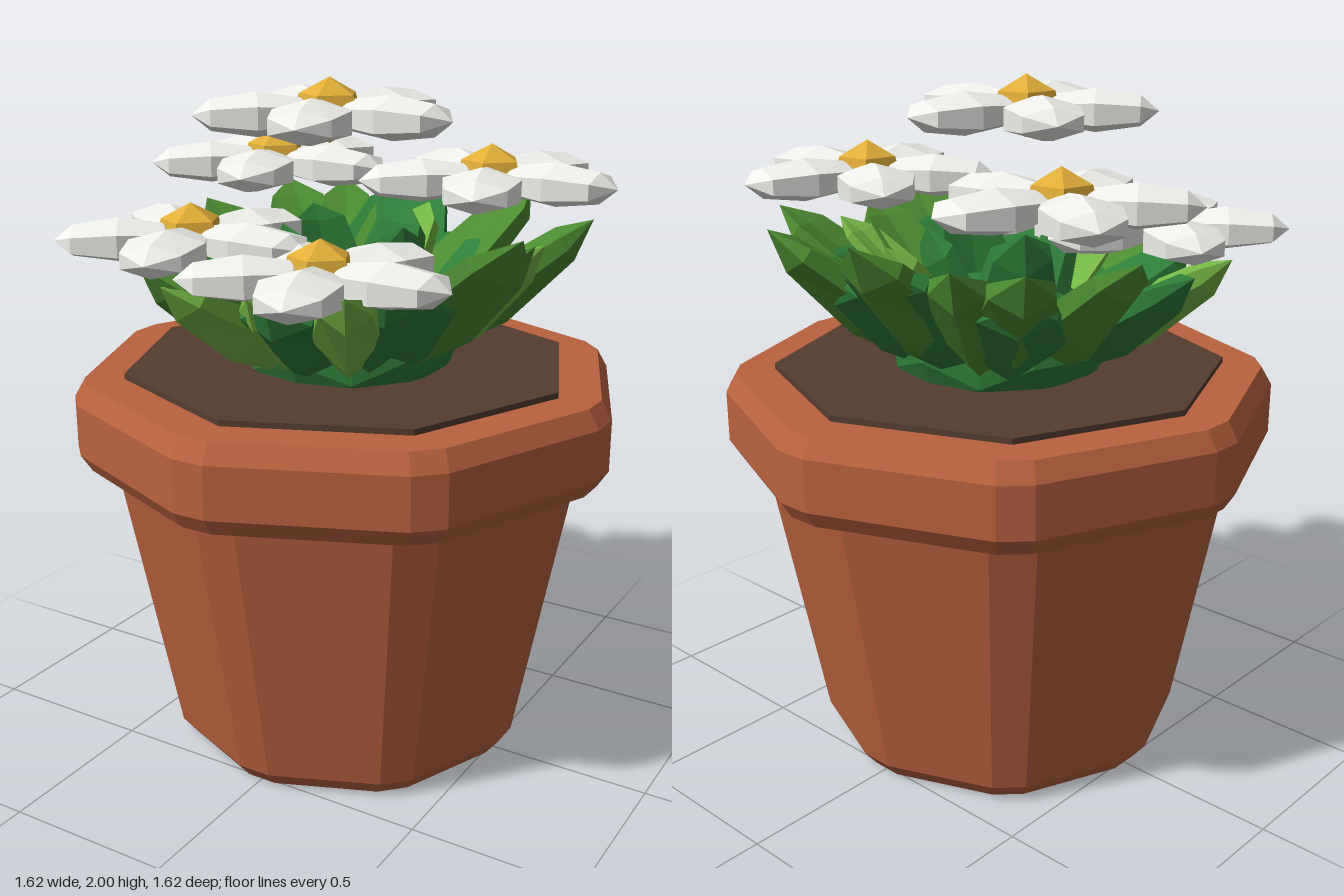
import * as THREE from 'three';

const mat = (color, side = THREE.FrontSide) =>
  new THREE.MeshStandardMaterial({ color, flatShading: true, side });
const CLAY = mat(0xb9623f), SOIL = mat(0x553d30), WHITE = mat(0xeeeeea), GOLD = mat(0xe0ae38);
const DARK = mat(0x2f7d38), MID = mat(0x4c8c32), LIGHT = mat(0x74b545);

function add(parent, name, geometry, material) {
  const mesh = new THREE.Mesh(geometry, material);
  mesh.name = name;
  parent.add(mesh);
  return mesh;
}

// Octagonal turned shape whose eight corners are chamfered by an angle
function octagonLathe(profile, chamfer) {
  const geo = new THREE.LatheGeometry(profile.map(p => new THREE.Vector2(...p)), 16);
  const pos = geo.attributes.position, n = profile.length;
  for (let i = 0; i < pos.count; i++) {
    const k = Math.floor(i / n), r = profile[i % n][0];
    const a = Math.floor(k / 2) * Math.PI / 4 + (k % 2 ? chamfer : -chamfer);
    pos.setX(i, r * Math.sin(a));
    pos.setZ(i, r * Math.cos(a));
  }
  return geo;
}

// Faceted gem along +x: x runs -1..1, y and z are the unit section
function gem(rule) {
  const geo = new THREE.SphereGeometry(1, 6, 4);
  geo.rotateZ(-Math.PI / 2);
  const pos = geo.attributes.position, v = new THREE.Vector3();
  for (let i = 0; i < pos.count; i++) {
    rule(v.fromBufferAttribute(pos, i));
    pos.setXYZ(i, v.x, v.y, v.z);
  }
  return geo;
}

// Petal, slightly wider toward its tip
const petalGeo = gem(v => {
  const w = 0.125 * (1 + 0.15 * v.x);
  v.set(0.2 + 0.18 * v.x, v.y * 0.062, v.z * w);
});

// Five-sided domed flower centre
const centreGeo = new THREE.LatheGeometry(
  [[0, -0.08], [0.06, -0.05], [0.095, 0.02], [0.085, 0.055], [0, 0.1]]
    .map(p => new THREE.Vector2(...p)), 5);

function flower(x, y, z) {
  const g = new THREE.Group();
  g.name = 'flower';
  for (let i = 0; i < 5; i++) {
    add(g, 'petal', petalGeo, WHITE).rotation.y = i * Math.PI * 0.4;
  }
  add(g, 'flowerCentre', centreGeo, GOLD).rotation.y = 0.15;
  g.position.set(x, y, z);
  return g;
}

// Cupped leaf rising along a curve from the crown to its tip
function leaf(parent, [x, y, z, width], material) {
  const reach = Math.hypot(x, z);
  const curve = new THREE.QuadraticBezierCurve3(
    new THREE.Vector3(0.1, 1.17, 0),
    new THREE.Vector3(reach * 0.55 + 0.07, 1.17 + (y - 1.17) * 0.3, 0),
    new THREE.Vector3(reach, y, 0));
  const geo = gem(v => {
    const p = curve.getPoint((v.x + 1) / 2);
    const cup = 0.07 * v.z * v.z;
    v.set(p.x - cup * 0.6 - v.y * 0.035, p.y + cup + v.y * 0.05, v.z * width);
  });
  add(parent, 'leaf', geo, material).rotation.y = Math.atan2(-z, x);
}

export function createModel() {
  const model = new THREE.Group();
  model.name = 'pottedFlowers';

  // Pot and soil
  const pot = new THREE.Group();
  pot.name = 'pot';
  model.add(pot);
  add(pot, 'potBody', octagonLathe([[0, 0], [0.51, 0], [0.55, 0.05], [0.715, 0.92]], 0.09), CLAY);
  add(pot, 'potRim', octagonLathe(
    [[0.6, 0.9], [0.78, 0.9], [0.812, 0.95], [0.812, 1.1], [0.78, 1.155], [0, 1.155]], 0.061), CLAY);
  add(pot, 'soil', new THREE.CylinderGeometry(0.67, 0.67, 0.03, 8), SOIL).position.y = 1.157;

  // Leaf rosette: tip x, y, z and half width
  const foliage = new THREE.Group();
  foliage.name = 'foliage';
  model.add(foliage);
  const darkLeaves = [
    [-0.12, 1.6, -0.63, 0.21], [0.5, 1.53, 0.27, 0.19], [0.2, 1.5, -0.5, 0.17],
    [-0.6, 1.5, 0.12, 0.18], [-0.45, 1.5, -0.42, 0.17], [0.08, 1.45, 0.56, 0.17],
    [-0.36, 1.5, 0.46, 0.18], [0.5, 1.5, -0.25, 0.18], [0.36, 1.5, 0.42, 0.16],
    [0.22, 1.6, 0.08, 0.14], [-0.1, 1.6, 0.2, 0.14], [-0.2, 1.6, -0.12, 0.14], [0.08, 1.6, -0.22, 0.14],
  ];
  const midLeaves = [
    [0.66, 1.64, 0.26, 0.16], [0.3, 1.62, -0.61, 0.14], [-0.13, 1.65, -0.7, 0.15],
    [-0.52, 1.6, -0.48, 0.14], [0.63, 1.6, -0.3, 0.14], [-0.6, 1.58, -0.12, 0.14],
    [-0.25, 1.55, 0.66, 0.15], [-0.36, 1.6, -0.58, 0.12], [0.6, 1.58, 0.04, 0.13],
  ];
  const lightLeaves = [
    [0.36, 1.53, 0.63, 0.11], [-0.18, 1.5, 0.66, 0.11], [0.02, 1.47, 0.56, 0.1],
    [-0.6, 1.52, 0.3, 0.1], [0.04, 1.58, -0.42, 0.1], [0.56, 1.55, -0.12, 0.1],
  ];
  darkLeaves.forEach(l => leaf(foliage, l, DARK));
  midLeaves.forEach(l => leaf(foliage, l, MID));
  lightLeaves.forEach(l => leaf(foliage, l, LIGHT));
  const crown = add(foliage, 'crown', new THREE.IcosahedronGeometry(0.33, 1), DARK);
  crown.scale.y = 0.6;
  crown.position.y = 1.24;

  // Blossoms
  [[0, 1.9, 0.11], [-0.36, 1.71, -0.16], [0.36, 1.71, -0.18], [-0.3, 1.565, 0.36], [0.18, 1.53, 0.45]]
    .forEach(p => model.add(flower(...p)));

  return model;
}
